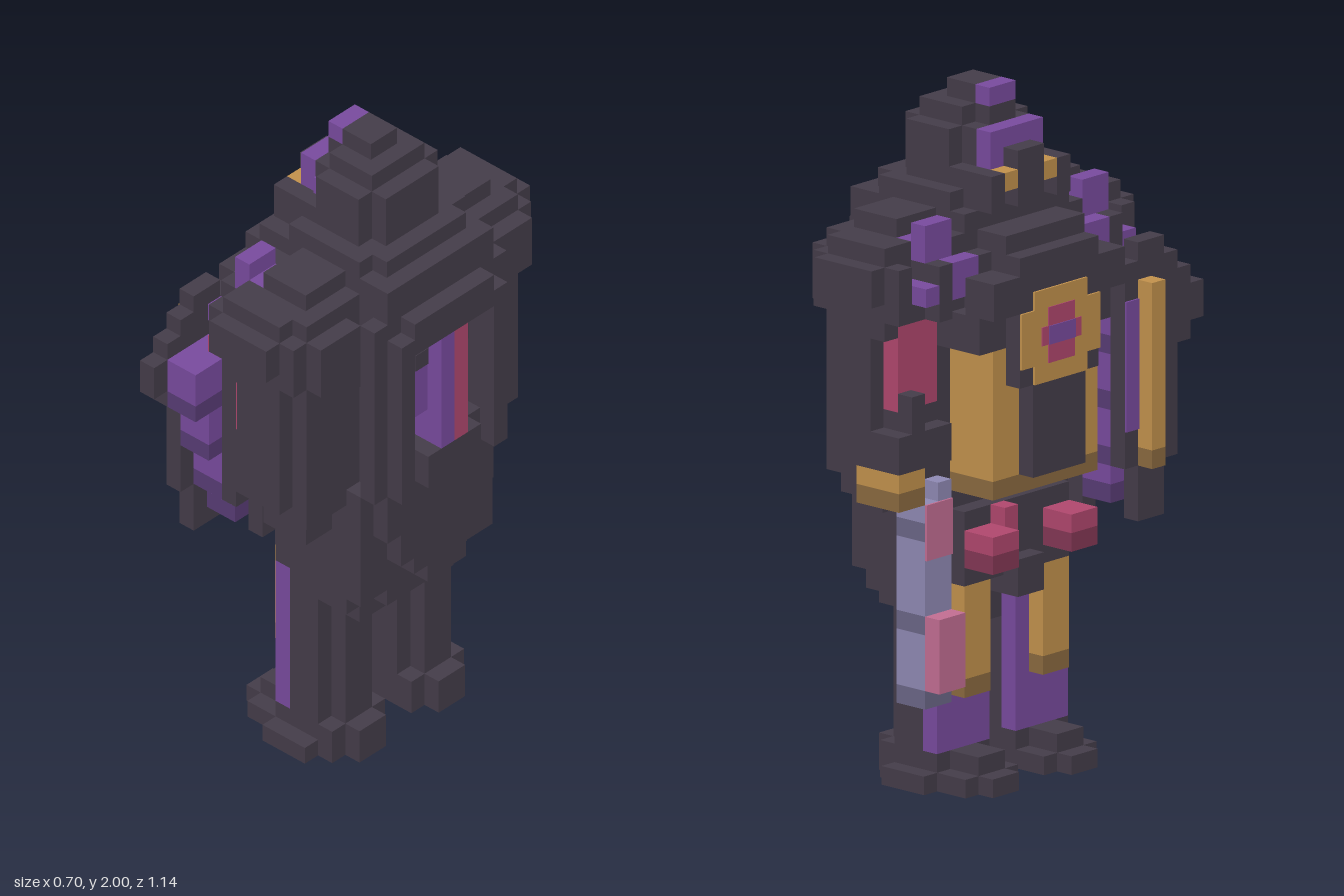
import * as THREE from 'three';

// One block unit; the figure fills 13 x 37 x 21 units and looks toward -x.
const U = 2 / 37;
const colours = {
  charcoal: 0x453d4a, purple: 0x7a4ba0, deepPurple: 0x593c76,
  crimson: 0xb2486f, deepCrimson: 0x853856, gold: 0xc4934d,
  deepGold: 0x8c6b40, lavender: 0x918bb6, deepLavender: 0x6c6788, rose: 0xc46f94,
};

export function createModel() {
  const model = new THREE.Group();
  const mats = {};
  for (const [name, hex] of Object.entries(colours)) {
    mats[name] = new THREE.MeshStandardMaterial({ color: hex });
    mats[name].name = name;
  }

  // Box given by its block limits: x0, x1, y0, y1, z0, z1
  function box(name, colour, x0, x1, y0, y1, z0, z1) {
    const mesh = new THREE.Mesh(
      new THREE.BoxGeometry((x1 - x0) * U, (y1 - y0) * U, (z1 - z0) * U), mats[colour]);
    mesh.position.set(((x0 + x1) / 2 - 6.5) * U, (y0 + y1) / 2 * U, ((z0 + z1) / 2 - 10.5) * U);
    mesh.name = name;
    model.add(mesh);
  }
  const boxes = (name, colour, list) => list.forEach((b) => box(name, colour, ...b));
  // The same box on both sides of the body's middle plane z = 10
  function pair(name, colour, x0, x1, y0, y1, z0, z1) {
    box(name, colour, x0, x1, y0, y1, z0, z1);
    box(name, colour, x0, x1, y0, y1, 20 - z1, 20 - z0);
  }
  const pairs = (name, colour, list) => list.forEach((b) => pair(name, colour, ...b));

  // Feet and legs
  pairs('foot', 'charcoal', [
    [4, 9, 0, 1, 11, 15], [2, 5, 0, 1, 12, 14], [5, 8, 0, 1, 15, 16], [9, 10, 0, 2, 12, 14],
    [3, 4, 0, 1, 11, 15], [5, 9, 1, 2, 11, 15], [3, 5, 1, 2, 12, 14],
  ]);
  pairs('leg', 'charcoal', [[6, 8, 2, 11, 11, 15], [8, 9, 2, 11, 12, 14]]);
  pair('legFront', 'purple', 5, 6, 2, 11, 11, 15);
  pair('shinGuard', 'gold', 4, 5, 6, 11, 12, 14);
  pair('shinGuardFoot', 'deepGold', 4, 5, 5, 6, 12, 14);

  // Hips and the stepped hem of the cloak
  boxes('cloakHem', 'charcoal', [
    [6, 9, 8, 10, 9, 11], [6, 10, 9, 10, 6, 14], [6, 11, 10, 11, 7, 13], [6, 10, 10, 11, 5, 15],
    [5, 11, 11, 18, 5, 15], [3, 5, 10, 12, 9, 11], [4, 5, 11, 15, 6, 14],
    [11, 12, 11, 18, 9, 11],
  ]);
  pairs('cloakFold', 'charcoal', [[11, 12, 12, 18, 11, 12], [11, 12, 13, 18, 12, 13], [11, 12, 15, 18, 13, 14]]);
  // Tassels
  pair('tassel', 'crimson', 2, 4, 13, 14, 12, 14);
  pair('tasselEnd', 'deepCrimson', 2, 4, 12, 13, 12, 14);
  box('sideTassel', 'crimson', 3, 4, 12, 15, 8, 9);

  // Torso, with the cloak hanging clear of the arms behind it
  boxes('torso', 'charcoal', [
    [5, 10, 18, 30, 5, 15], [4, 5, 24, 30, 5, 15], [3, 5, 25, 29, 6, 14], [10, 11, 18, 30, 8, 12],
  ]);
  pairs('cloakWing', 'charcoal', [
    [11, 12, 18, 29, 13, 15], [12, 13, 18, 28, 13, 14], [10, 11, 18, 24, 13, 14],
  ]);
  boxes('cloakBack', 'charcoal', [
    [11, 12, 18, 20, 7, 13], [12, 13, 18, 20, 8, 12],
    [10, 12, 27, 30, 6, 14], [12, 13, 27, 29, 7, 13], [8, 12, 29, 31, 6, 14], [8, 11, 31, 32, 7, 13],
  ]);

  // Skull-like badge set into the back, half purple and half crimson, with dark eyes
  for (const [z, top, bottom, x] of [[0, 27, 20, 13], [1, 27, 22, 12], [2, 26, 23, 11]]) {
    box('backBadge', 'purple', 10, x, bottom, top, 10 + z, 11 + z);
    box('backBadge', 'crimson', 10, x, bottom, top, 9 - z, 10 - z);
  }
  pair('badgeEye', 'charcoal', 12, 12.1, 25, 26, 11, 12);
  pair('badgeSurround', 'charcoal', 10, 10.9, 20, 23, 11, 13);

  // Collar and chest plate
  boxes('collar', 'charcoal', [
    [1, 3, 26, 28, 5, 15], [1, 3, 28, 29, 7, 13], [2, 4, 29, 30, 7, 13],
  ]);
  boxes('chestPlate', 'charcoal', [[1, 2, 22, 26, 7, 13], [2, 4, 24, 26, 5, 15], [1, 2, 17, 22, 8, 12]]);
  box('waistGuard', 'gold', 2, 5, 17, 24, 6, 14);
  box('waistGuardEdge', 'deepGold', 2, 5, 16, 17, 6, 14);
  // Round chest badge
  boxes('chestBadge', 'gold', [[0.88, 1, 22, 27, 8, 12], [0.88, 1, 23, 26, 7, 8], [0.88, 1, 23, 26, 12, 13]]);
  boxes('badgeCentre', 'crimson', [[0.82, 0.88, 23, 26, 9, 11], [0.82, 0.88, 24, 25, 8.5, 11.5]]);
  box('badgeCore', 'purple', 0.76, 0.82, 24, 25, 9, 11);

  // Head, stepped to a point
  boxes('head', 'charcoal', [
    [4, 11, 30, 31, 6, 14], [5, 10, 31, 32, 6, 14], [4, 5, 31, 32, 7, 13], [4, 10, 32, 33, 8, 12],
    [5, 10, 33, 35, 8, 12], [6, 9, 32, 35, 7, 13], [6, 9, 35, 36, 8, 12],
    [5, 6, 35, 36, 9, 11], [6, 8, 36, 37, 9, 11], [3, 4, 31, 34, 9, 11],
  ]);
  pair('cheek', 'charcoal', 3, 6, 31, 33, 12, 13);
  box('brow', 'purple', 4, 5, 33, 35, 8, 12);
  box('browSide', 'purple', 5, 6, 33, 34, 12, 12.12);
  box('crest', 'purple', 5, 6, 36, 37, 9, 11);
  pair('eye', 'gold', 3, 4, 32, 33, 11, 12);

  // Domed shoulders
  pairs('shoulder', 'charcoal', [
    [5, 9, 27, 29, 19, 20], [4, 10, 26, 29, 18, 19], [5, 11, 26, 29, 17, 18], [4, 11, 26, 29, 15, 17],
    [5, 9, 29, 30, 18, 19], [6, 10, 29, 30, 15, 18], [5, 6, 29, 30, 17, 18], [6, 9, 30, 31, 14, 17],
    [5, 9, 25, 26, 18, 19], [3, 4, 26, 29, 16, 17], [4, 5, 26, 27, 17, 18],
  ]);
  pairs('shoulderTrim', 'purple', [
    [4, 5, 29, 31, 15, 17], [5, 6, 29, 30, 15, 17],
    [3, 4, 27, 29, 14, 16], [3, 5, 27, 28, 17, 18],
  ]);

  // Upper arms with coloured fronts
  pairs('arm', 'charcoal', [[6, 10, 17, 26, 15, 18], [6, 9, 18, 25, 18, 19]]);
  box('leftElbow', 'charcoal', 6, 9, 15, 17, 15, 17);
  boxes('rightElbow', 'charcoal', [[7, 9, 16, 18, 2, 4], [7, 9, 15, 16, 3, 4]]);
  pair('armFront', 'crimson', 5, 6, 21, 26, 15, 18);
  pair('armFrontBase', 'charcoal', 5, 6, 17, 21, 15, 18);
  box('wrist', 'crimson', 3, 4, 25, 26, 16, 18);
  // Right fist and hilt
  boxes('fist', 'charcoal', [[4, 6, 18, 20, 1, 5], [4, 5, 20, 22, 2, 3], [6, 9, 18, 22, 1, 2]]);
  box('hilt', 'gold', 4, 7, 17, 18, 1, 3);
  box('hiltBase', 'deepGold', 4, 7, 16, 17, 1, 3);

  // Hanging blade
  boxes('blade', 'lavender', [[4, 6, 10, 14, 3, 5], [4, 6, 6, 9, 3, 5], [4, 6, 15, 17, 4, 5], [4, 6, 15, 16, 3, 4]]);
  for (const y of [5, 9, 14]) box('bladeBand', 'deepLavender', 4, 6, y, y + 1, 3, 5);
  box('bladeEdge', 'rose', 3, 4, 6, 10, 3, 5);
  box('bladeRoot', 'rose', 3.88, 4, 13, 16, 3, 5);

  // Left forearm of shrinking segments, each with a dark lower edge
  for (const [bottom, top, z] of [[22, 25, 20], [19, 22, 19], [16, 19, 18], [14, 16, 17]]) {
    box('forearm', 'purple', 2, 4, bottom + 1, top, 15, z);
    box('forearmEdge', 'deepPurple', 2, 4, bottom, bottom + 1, 15, z);
  }
  boxes('elbow', 'charcoal', [[4, 5, 13, 16, 15, 16], [4, 5, 16, 25, 15, 18]]);

  // Shield in front of the left arm, with an upright bar
  boxes('shield', 'charcoal', [
    [1, 2, 16, 27, 15, 19], [1, 2, 27, 28, 16, 18], [1, 2, 22, 26, 19, 20], [1, 2, 23, 25, 20, 21],
    [1, 2, 13, 16, 16, 18],
  ]);
  box('shieldBar', 'gold', 0, 1, 17, 26, 16, 17);
  box('shieldBarEnd', 'deepGold', 0, 1, 16, 17, 16, 17);
  box('shieldStripe', 'purple', 0.88, 1, 18, 25, 15, 16);

  return model;
}
